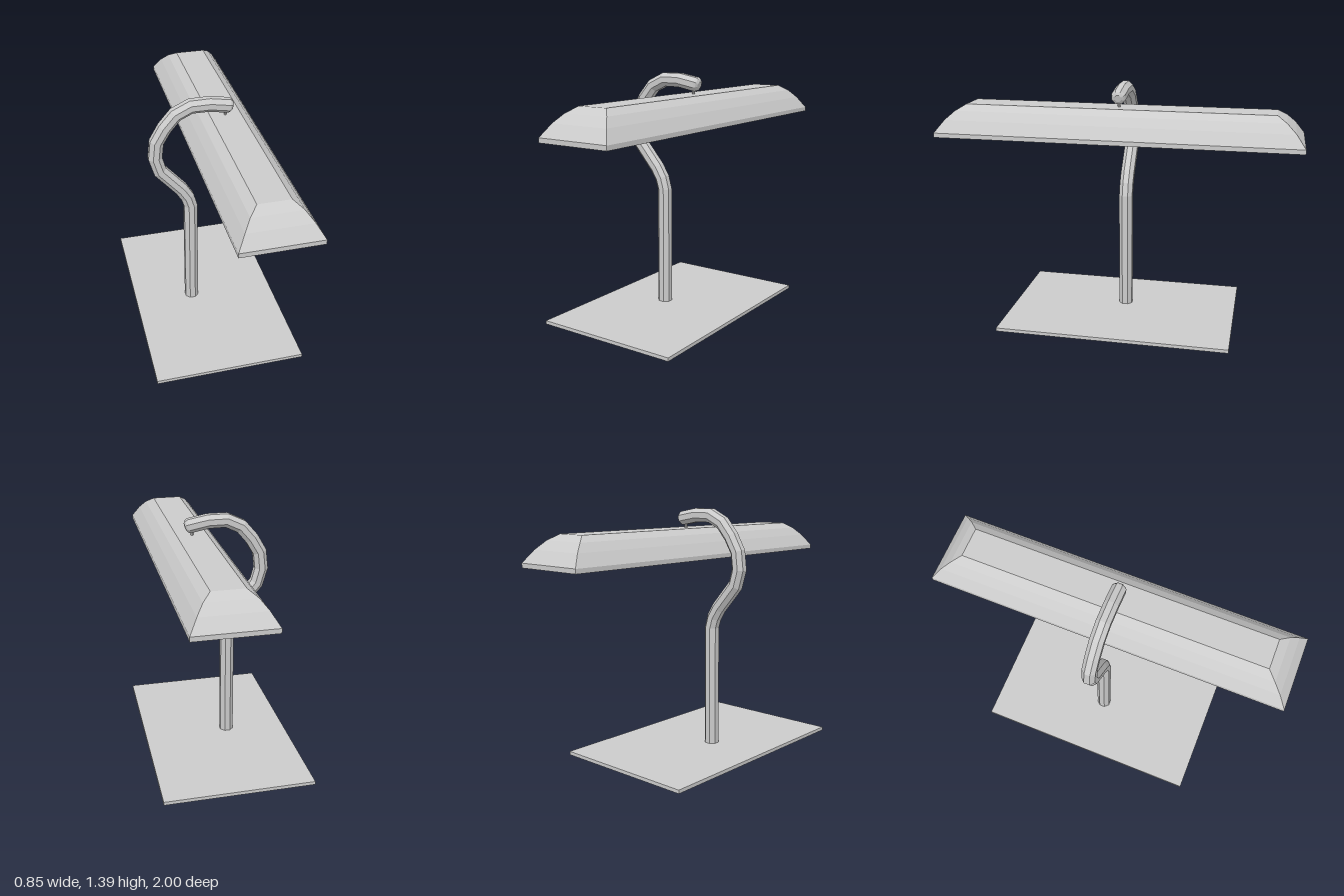
import * as THREE from 'three';

const material = new THREE.MeshStandardMaterial({ color: 0xcccccc, flatShading: true });

function addMesh(parent, name, geometry, x = 0, y = 0, z = 0) {
  const mesh = new THREE.Mesh(geometry, material);
  mesh.name = name;
  mesh.position.set(x, y, z);
  parent.add(mesh);
  return mesh;
}

// Skins a list of equal-length rings and closes both ends with a fan.
function loft(rings) {
  const n = rings[0].length;
  const last = (rings.length - 1) * n;
  const points = rings.flat();
  const index = [];
  for (let r = 0; r < rings.length - 1; r++) {
    for (let i = 0; i < n; i++) {
      const a = r * n + i, b = r * n + (i + 1) % n;
      index.push(a, b, b + n, a, b + n, a + n);
    }
  }
  for (let i = 1; i < n - 1; i++) {
    index.push(0, i + 1, i, last, last + i, last + i + 1);
  }
  const geometry = new THREE.BufferGeometry().setFromPoints(points);
  geometry.setIndex(index);
  const flat = geometry.toNonIndexed();
  flat.computeVertexNormals();
  return flat;
}

// Octagonal tube swept along a path in the xy plane; entries are [x, y, radius].
function sweep(path, sides = 8) {
  return loft(path.map(([x, y, radius], k) => {
    const p = path[Math.max(k - 1, 0)], q = path[Math.min(k + 1, path.length - 1)];
    const t = new THREE.Vector2(q[0] - p[0], q[1] - p[1]).normalize();
    return Array.from({ length: sides }, (_, i) => {
      const a = (i + 0.5) / sides * Math.PI * 2;
      const c = Math.cos(a) * radius, s = Math.sin(a) * radius;
      return new THREE.Vector3(x + t.y * c, y - t.x * c, -s);
    });
  }));
}

// Rectangular ring at height y, ordered to face outward when lofted upward.
function rectangle(halfX, halfZ, y) {
  return [[1, 1], [1, -1], [-1, -1], [-1, 1]]
    .map(([sx, sz]) => new THREE.Vector3(sx * halfX, y, sz * halfZ));
}

export function createModel() {
  const model = new THREE.Group();
  model.name = 'deskLamp';

  // Flat base plate
  addMesh(model, 'base', new THREE.BoxGeometry(0.85, 0.02, 1.33), 0, 0.01, 0);

  // Straight post continuing into the curved neck, with a rounded tip
  const R = 0.042;
  const neck = [
    [-0.075, 0.015], [-0.075, 0.71], [-0.093, 0.772], [-0.128, 0.83],
    [-0.247, 0.969], [-0.272, 1.057], [-0.261, 1.155], [-0.214, 1.236],
    [-0.152, 1.309], [-0.068, 1.349], [0.035, 1.349], [0.145, 1.329]
  ].map(([x, y]) => [x, y, R]);
  neck.push([0.157, 1.327, 0.034], [0.164, 1.325, 0.02]);
  addMesh(model, 'post', sweep(neck));

  // Short hanger between the neck and the shade
  const hanger = new THREE.Group();
  hanger.name = 'hanger';
  model.add(hanger);
  addMesh(hanger, 'hangerRod', new THREE.CylinderGeometry(0.008, 0.008, 0.05, 8), 0.125, 1.294, 0);
  addMesh(hanger, 'hangerCollar', new THREE.CylinderGeometry(0.015, 0.009, 0.016, 8), 0.125, 1.3, 0);

  // Long hollow shade: inner wall down to the rim, then outer wall up to the top
  const profile = [
    [0.21, 1, 1.105], [0.21, 1, 1.13], [0.168, 0.95, 1.197],
    [0.13, 0.901, 1.243], [0.085, 0.85, 1.275]
  ];
  const wall = 0.008;
  const inner = profile.map(([x, z, y], i) =>
    rectangle(x - wall, z - wall, i ? y - wall : y)).reverse();
  const outer = profile.map(([x, z, y]) => rectangle(x, z, y));
  addMesh(model, 'shade', loft([...inner, ...outer]), 0.125, 0, 0);

  return model;
}
